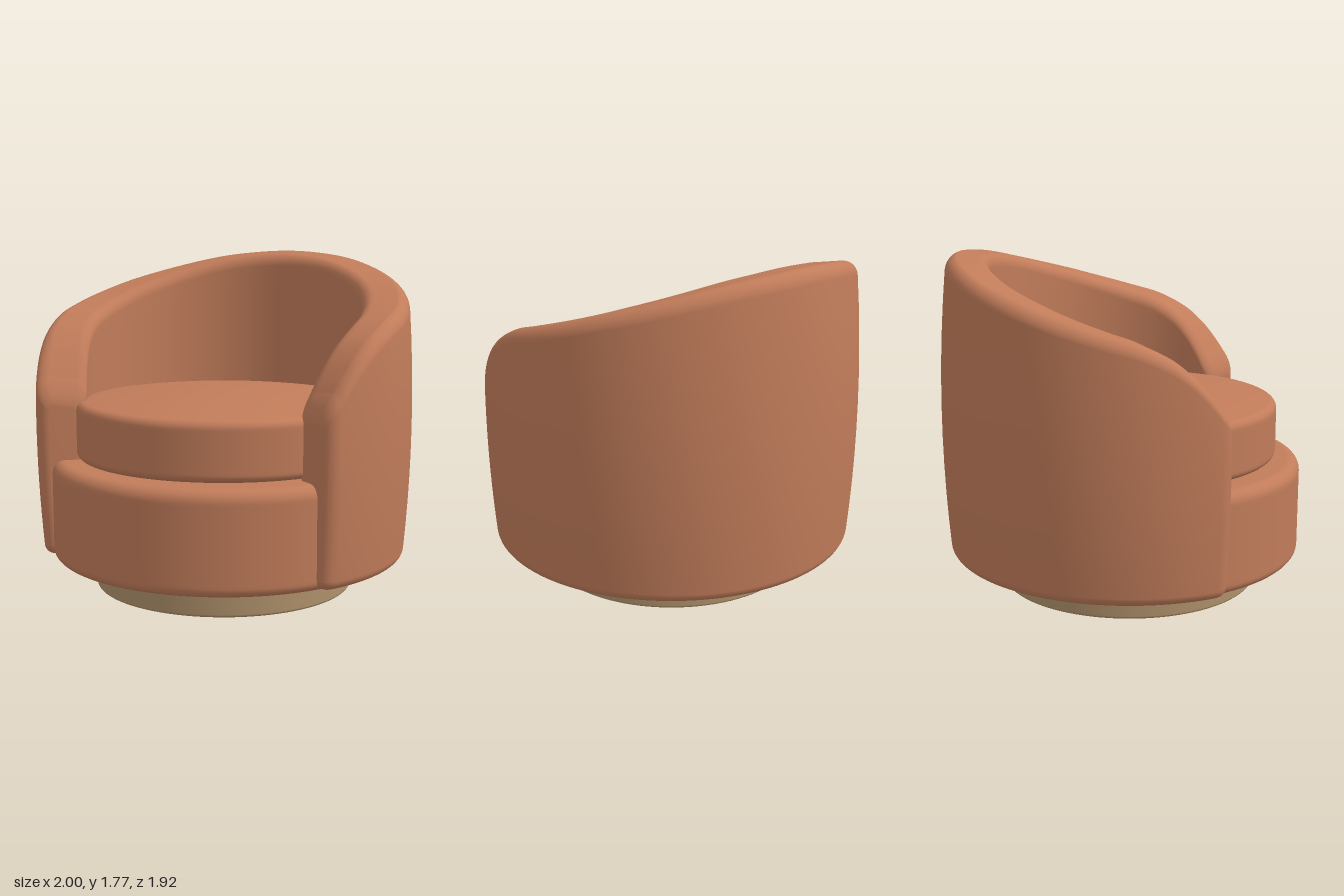
import * as THREE from 'three';

const CENTRE_Z = 0.04;
const INNER = 0.73, OUTER = 1.0, BOTTOM = 0.172;
const END_ROUND = 0.07;

// Closed outline of the shell wall as [radius, y], inset by d, counterclockwise
function wallSection(top, d) {
  const r0 = INNER + d, r1 = OUTER - d, y0 = BOTTOM + d * 0.6, y1 = top - d;
  const c = Math.max(0.07 - d * 0.7, 0.02), cb = c * 0.7;
  const pts = [];
  const corner = (r, y, rad, start) => {
    for (let i = 0; i <= 8; i++) {
      const t = start + (i / 8) * Math.PI / 2;
      pts.push([r + rad * Math.cos(t), y + rad * Math.sin(t)]);
    }
  };
  const wall = (r, from, to) => {
    for (let i = 1; i < 10; i++) pts.push([r, from + (to - from) * i / 10]);
  };
  corner(r1 - cb, y0 + cb, cb, -Math.PI / 2);
  wall(r1, y0 + cb, y1 - c);
  corner(r1 - c, y1 - c, c, 0);
  corner(r0 + c, y1 - c - 0.015, c, Math.PI / 2);
  wall(r0, y1 - c - 0.015, y0 + cb);
  corner(r0 + cb, y0 + cb, cb, Math.PI);
  // Barrel bulge on the outside only
  return pts.map(([r, y]) => {
    const k = (y - 0.9) / 0.75;
    return [r - 0.036 * k * k * (r - INNER) / (OUTER - INNER), y];
  });
}

// Wraparound back and arms: wall outline swept around the seat with a falling top edge
function shellGeometry() {
  // [degrees from the side, top height], back to front
  const rim = [[-90, 1.77], [-77, 1.76], [-64, 1.735], [-49, 1.685], [-30, 1.61], [-15, 1.543],
    [-2.5, 1.487], [7, 1.443], [16.4, 1.37], [23, 1.285], [28, 1.195], [31, 1.13]];
  const mirrored = rim.slice(1).reverse().map(([a, h]) => [-180 - a, h]);
  const curve = new THREE.SplineCurve([...mirrored, ...rim].map(([a, h]) => new THREE.Vector2(a, h)));
  const stations = curve.getPoints(176).map(p => [p.x, p.y, 0]);
  // Rounded arm fronts
  for (let k = 1; k <= 10; k++) {
    const t = (k / 10) * Math.PI / 2, s = Math.sin(t);
    const a = 31 + 4.5 * s, h = 1.13 - 0.08 * s, d = END_ROUND * (1 - Math.cos(t));
    stations.push([a, h, d]);
    stations.unshift([-180 - a, h, d]);
  }

  const pos = [], index = [];
  let n = 0;
  const put = (r, y, deg) => {
    const a = THREE.MathUtils.degToRad(deg);
    pos.push(r * Math.cos(a), y, CENTRE_Z + r * Math.sin(a));
  };
  for (const [a, h, d] of stations) {
    const sec = wallSection(h, d);
    n = sec.length;
    sec.forEach(([r, y]) => put(r, y, a));
  }
  const last = stations.length - 1;
  for (let i = 0; i < last; i++) {
    for (let j = 0; j < n; j++) {
      const k = (j + 1) % n;
      const p = i * n + j, q = i * n + k;
      index.push(p, q, p + n, q, q + n, p + n);
    }
  }
  // Flat middles of the arm fronts
  const startHub = pos.length / 3, endHub = startHub + 1;
  put(0.865, 0.6, stations[0][0]);
  put(0.865, 0.6, stations[last][0]);
  for (let j = 0; j < n; j++) {
    const k = (j + 1) % n;
    index.push(startHub, k, j, endHub, last * n + j, last * n + k);
  }
  const g = new THREE.BufferGeometry();
  g.setAttribute('position', new THREE.Float32BufferAttribute(pos, 3));
  g.setIndex(index);
  g.computeVertexNormals();
  return g;
}

// Round pad with softened edges and an optional domed top
function roundPad(radius, y0, y1, lowRound, topRound, dome = 0) {
  const pts = [new THREE.Vector2(0, y0), new THREE.Vector2(radius - lowRound - 0.015, y0)];
  const arc = (rad, y, start) => {
    for (let i = 0; i <= 8; i++) {
      const t = start + (i / 8) * Math.PI / 2;
      pts.push(new THREE.Vector2(radius - rad + rad * Math.cos(t), y + rad * Math.sin(t)));
    }
  };
  arc(lowRound, y0 + lowRound, -Math.PI / 2);
  pts.push(new THREE.Vector2(radius, y0 + lowRound + 0.015));
  pts.push(new THREE.Vector2(radius, y1 - topRound - 0.015));
  arc(topRound, y1 - topRound, 0);
  const edge = radius - topRound;
  for (const f of [0.98, 0.9, 0.8, 0.65, 0.5, 0.35, 0.2, 0.1, 0]) {
    pts.push(new THREE.Vector2(edge * f, y1 + dome * (1 - f * f)));
  }
  return new THREE.LatheGeometry(pts, 96);
}

export function createModel() {
  const upholstery = new THREE.MeshStandardMaterial({ color: 0xc17c5a });
  upholstery.name = 'terracotta upholstery';
  const wood = new THREE.MeshStandardMaterial({ color: 0xae906a });
  wood.name = 'tan wood';

  const chair = new THREE.Group();
  chair.name = 'swivelTubChair';
  const add = (name, geometry, material, z = CENTRE_Z) => {
    const mesh = new THREE.Mesh(geometry, material);
    mesh.name = name;
    mesh.position.z = z;
    chair.add(mesh);
  };

  add('plinth', roundPad(0.69, 0, 0.168, 0.015, 0.015), wood);
  add('seatBase', roundPad(0.92, 0.165, 0.69, 0.05, 0.065), upholstery);
  add('seatCushion', roundPad(0.79, 0.695, 1.0, 0.04, 0.045, 0.058), upholstery);
  add('wraparoundBack', shellGeometry(), upholstery, 0);
  return chair;
}
